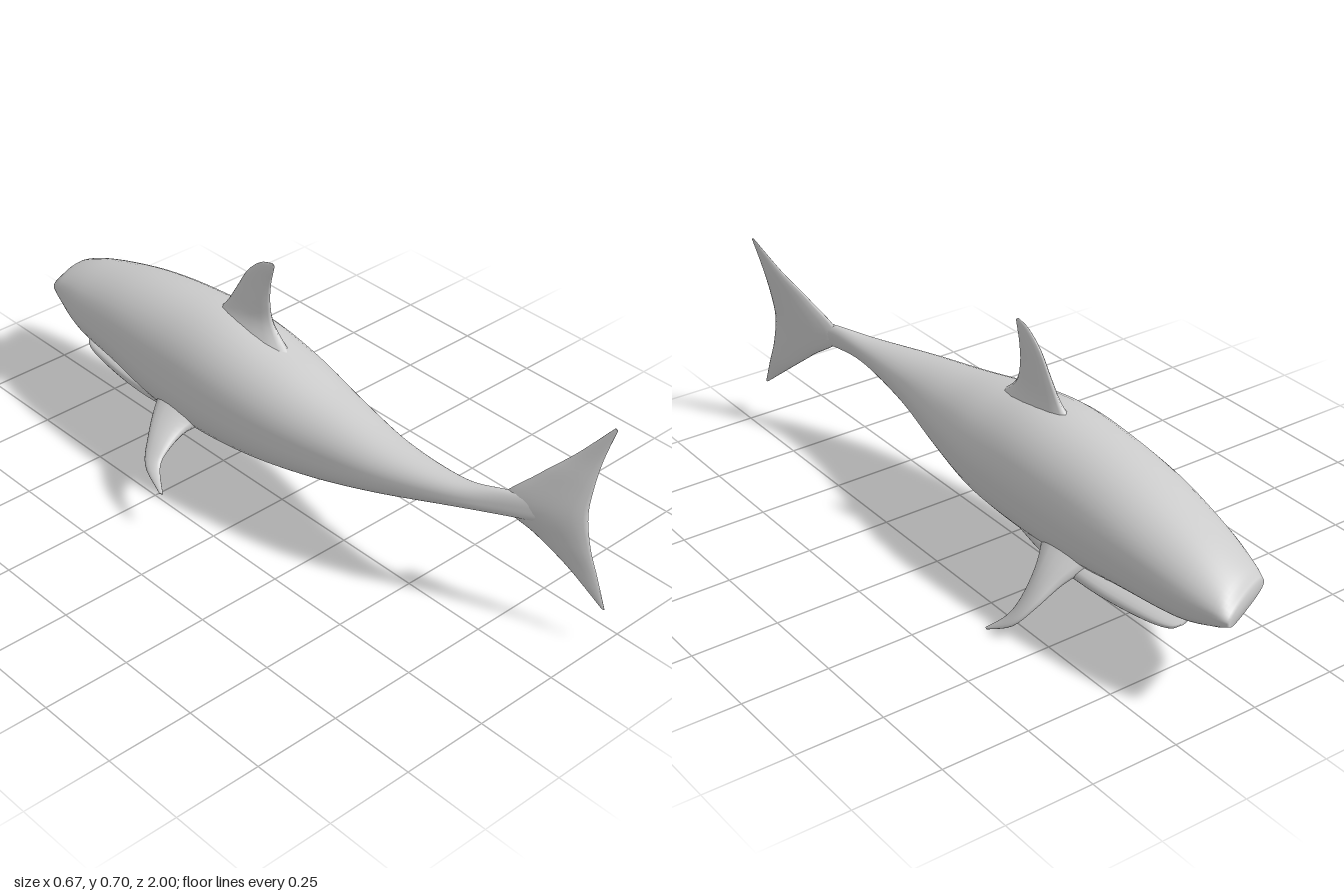
import * as THREE from 'three';

const material = new THREE.MeshStandardMaterial({ color: 0xcccccc });
const vec = (p) => new THREE.Vector3(...p);
const curve = (points) => new THREE.CatmullRomCurve3(points, false, 'catmullrom', 0.5);

// Closed skin over a list of rings with equal point counts
function loft(name, rings) {
  const n = rings[0].length;
  const points = rings.flat();
  const index = [];
  for (let i = 0; i < rings.length - 1; i++) {
    for (let j = 0; j < n; j++) {
      const a = i * n + j, b = i * n + (j + 1) % n;
      index.push(a, b, a + n, b, b + n, a + n);
    }
  }
  // End caps
  [0, rings.length - 1].forEach((r, end) => {
    const mid = new THREE.Vector3();
    rings[r].forEach((p) => mid.addScaledVector(p, 1 / n));
    const c = points.push(mid) - 1;
    for (let j = 0; j < n; j++) {
      const a = r * n + j, b = r * n + (j + 1) % n;
      if (end) index.push(a, b, c);
      else index.push(b, a, c);
    }
  });
  // Turn the faces outward when the enclosed volume is negative
  let volume = 0;
  const cross = new THREE.Vector3();
  for (let i = 0; i < index.length; i += 3) {
    cross.crossVectors(points[index[i + 1]], points[index[i + 2]]);
    volume += points[index[i]].dot(cross);
  }
  if (volume < 0) index.reverse();
  const geometry = new THREE.BufferGeometry().setFromPoints(points);
  geometry.setIndex(index);
  geometry.computeVertexNormals();
  const mesh = new THREE.Mesh(geometry, material);
  mesh.name = name;
  return mesh;
}

// Trunk-like part; stations are [z, left edge, right edge, top, bottom, slant]
// Sections are round above, flat below, and rolled a little to one side
function trunk(name, stations, roll, steps) {
  const sides = curve(stations.map((s) => new THREE.Vector3(s[1], s[2], s[0])));
  const heights = curve(stations.map((s) => new THREE.Vector3(s[3], s[4], s[5])));
  const rings = [];
  for (let i = 0; i <= steps; i++) {
    const s = sides.getPoint(i / steps), h = heights.getPoint(i / steps);
    const cx = (s.x + s.y) / 2, cy = (h.x + h.y) / 2;
    const ring = [];
    for (let j = 0; j < 36; j++) {
      const a = (j / 36) * Math.PI * 2, c = Math.cos(a), d = Math.sin(a);
      const e = d < 0 ? 0.68 : 1;
      const u = Math.sign(c) * Math.abs(c) ** e * (s.y - s.x) / 2;
      const v = Math.sign(d) * Math.abs(d) ** e * (h.x - h.y) / 2;
      const x = u * Math.cos(roll) - v * Math.sin(roll);
      const y = u * Math.sin(roll) + v * Math.cos(roll);
      ring.push(new THREE.Vector3(cx + x, cy + y, s.z - h.z * x));
    }
    rings.push(ring);
  }
  return loft(name, rings);
}

// Lens-section fin; rows are [leading point, trailing point, half thickness]
function fin(name, rows, steps = 20) {
  const lead = curve(rows.map((r) => vec(r[0])));
  const trail = curve(rows.map((r) => vec(r[1])));
  const thick = curve(rows.map((r) => new THREE.Vector3(r[2], 0, 0)));
  const last = rows[rows.length - 1], middle = rows[Math.floor(rows.length / 2)];
  const span = vec(last[0]).sub(vec(rows[0][0]));
  const normal = vec(middle[0]).sub(vec(middle[1])).cross(span).normalize();
  const rings = [];
  for (let i = 0; i <= steps; i++) {
    const a = lead.getPoint(i / steps), b = trail.getPoint(i / steps);
    const t = thick.getPoint(i / steps).x;
    const mid = a.clone().add(b).multiplyScalar(0.5), half = a.clone().sub(b).multiplyScalar(0.5);
    rings.push(Array.from({ length: 14 }, (_, j) => {
      const w = (j / 14) * Math.PI * 2;
      return mid.clone().addScaledVector(half, Math.cos(w)).addScaledVector(normal, Math.sin(w) * t);
    }));
  }
  return loft(name, rings);
}

export function createModel() {
  const model = new THREE.Group();
  model.name = 'shark';

  // Body from snout to tail stalk
  model.add(trunk('body', [
    [-0.965, -0.07, 0.1, 0.315, 0.272, 0.4],
    [-0.92, -0.085, 0.118, 0.355, 0.245, 0.36],
    [-0.8, -0.115, 0.145, 0.405, 0.205, 0.28],
    [-0.6, -0.14, 0.17, 0.46, 0.185, 0.15],
    [-0.4, -0.155, 0.18, 0.492, 0.155, 0.05],
    [-0.2, -0.16, 0.185, 0.5, 0.15, 0],
    [0, -0.145, 0.175, 0.468, 0.165, 0],
    [0.2, -0.11, 0.14, 0.425, 0.2, 0],
    [0.4, -0.065, 0.105, 0.39, 0.25, 0],
    [0.6, 0.01, 0.095, 0.37, 0.295, 0],
    [0.72, 0.075, 0.115, 0.38, 0.308, 0],
    [0.82, 0.13, 0.155, 0.385, 0.315, 0],
    [0.9, 0.175, 0.187, 0.37, 0.335, 0],
  ], -0.15, 72));

  // Lower jaw under the snout
  model.add(trunk('lowerJaw', [
    [-0.805, -0.05, 0.095, 0.203, 0.187, 0.3],
    [-0.77, -0.09, 0.12, 0.208, 0.17, 0.28],
    [-0.68, -0.11, 0.14, 0.215, 0.157, 0.22],
    [-0.52, -0.125, 0.155, 0.22, 0.148, 0.12],
    [-0.35, -0.125, 0.155, 0.24, 0.148, 0],
    [-0.15, -0.1, 0.13, 0.26, 0.165, 0],
  ], -0.12, 30));

  model.add(fin('dorsalFin', [
    [[0.02, 0.46, -0.31], [0.02, 0.44, 0.03], 0.05],
    [[0.03, 0.515, -0.26], [0.034, 0.515, -0.065], 0.021],
    [[0.035, 0.58, -0.22], [0.037, 0.58, -0.088], 0.013],
    [[0.038, 0.645, -0.18], [0.04, 0.64, -0.088], 0.009],
    [[0.04, 0.69, -0.13], [0.04, 0.675, -0.08], 0.006],
    [[0.041, 0.706, -0.085], [0.041, 0.698, -0.075], 0.002],
  ]));

  // Paddle fins, posed differently because the body twists
  model.add(fin('leftPectoralFin', [
    [[0.1, 0.21, -0.51], [0.1, 0.2, -0.29], 0.045],
    [[0.185, 0.16, -0.475], [0.185, 0.155, -0.365], 0.026],
    [[0.26, 0.1, -0.455], [0.25, 0.09, -0.385], 0.014],
    [[0.308, 0.045, -0.42], [0.29, 0.045, -0.375], 0.009],
    [[0.333, 0.003, -0.345], [0.328, 0.003, -0.335], 0.002],
  ]));
  model.add(fin('rightPectoralFin', [
    [[-0.08, 0.245, -0.4], [-0.08, 0.23, -0.17], 0.05],
    [[-0.165, 0.215, -0.345], [-0.165, 0.205, -0.205], 0.028],
    [[-0.24, 0.18, -0.285], [-0.24, 0.172, -0.2], 0.015],
    [[-0.3, 0.14, -0.225], [-0.282, 0.145, -0.182], 0.009],
    [[-0.333, 0.117, -0.125], [-0.328, 0.117, -0.115], 0.002],
  ]));

  // Forked tail fin, from the upper tip to the lower tip
  model.add(fin('tailFin', [
    [[0.235, 0.613, 0.938], [0.236, 0.61, 0.946], 0.002],
    [[0.188, 0.52, 0.862], [0.218, 0.52, 0.926], 0.007],
    [[0.142, 0.445, 0.79], [0.202, 0.44, 0.918], 0.012],
    [[0.095, 0.345, 0.71], [0.19, 0.36, 0.918], 0.017],
    [[0.137, 0.265, 0.8], [0.19, 0.27, 0.935], 0.012],
    [[0.168, 0.195, 0.885], [0.193, 0.195, 0.962], 0.007],
    [[0.187, 0.113, 0.99], [0.19, 0.112, 0.998], 0.002],
  ], 36));

  return model;
}
